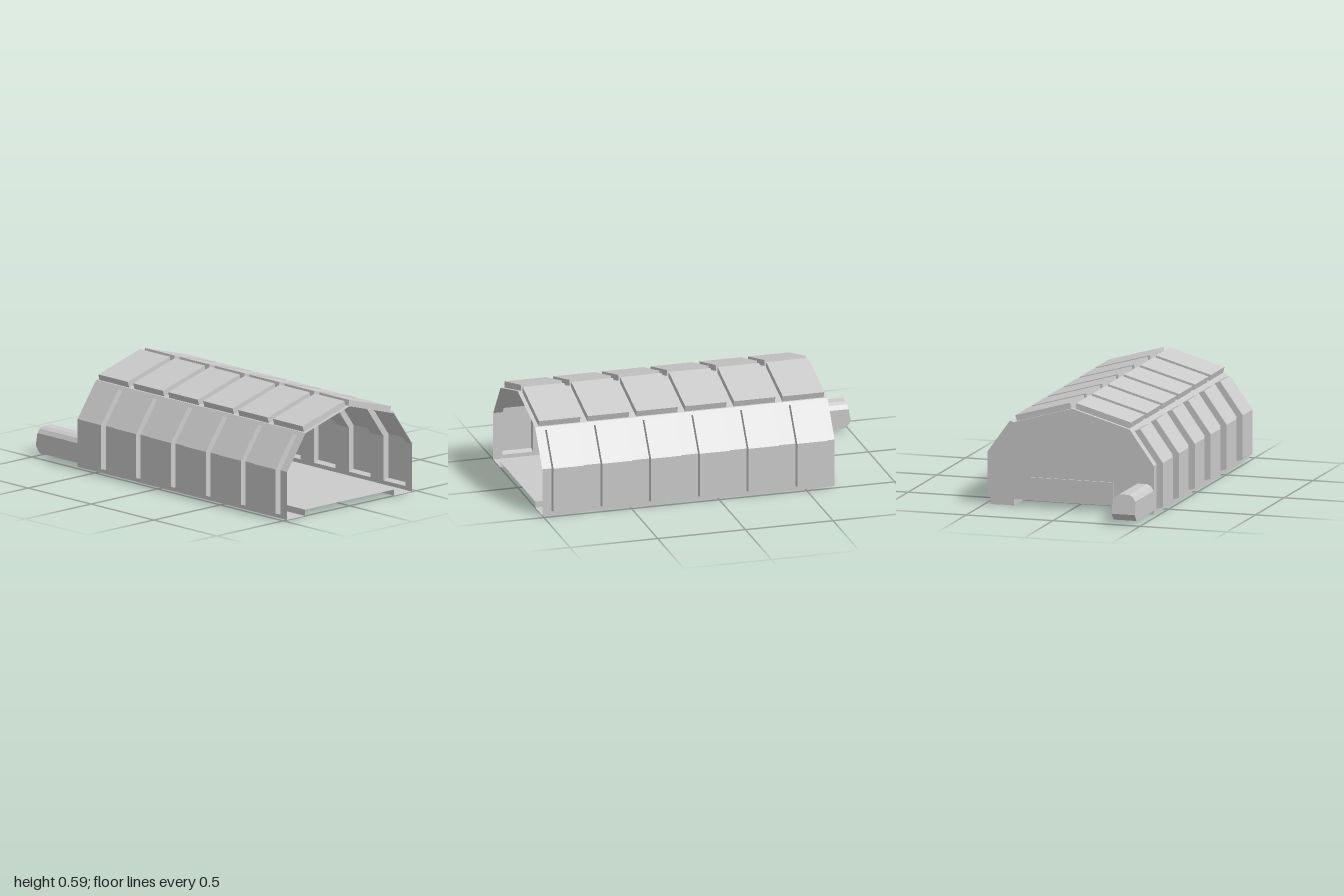
import * as THREE from 'three';

const X0 = -0.667, X1 = 1, PITCH = 0.278, FIRST = -0.53, BAYS = 6;
const mat = new THREE.MeshStandardMaterial({ color: 0xcccccc, flatShading: true, side: THREE.DoubleSide });

// Profiles are lists of [z, y] points
const flip = (pts, s) => pts.map(([z, y]) => [z * s, y]);

function add(parent, geometry, name) {
  const mesh = new THREE.Mesh(geometry, mat);
  mesh.name = name;
  parent.add(mesh);
  return mesh;
}

// Thin sheet running along x; each end is a number or a rule of y
function sheet(pts, a, b) {
  const at = (e, y) => (typeof e === 'function' ? e(y) : e);
  const pos = [], idx = [];
  for (let i = 0; i < pts.length - 1; i++) {
    for (const [z, y] of [pts[i], pts[i + 1]]) pos.push(at(a, y), y, z, at(b, y), y, z);
    const k = i * 4;
    idx.push(k, k + 1, k + 2, k + 1, k + 3, k + 2);
  }
  const g = new THREE.BufferGeometry();
  g.setAttribute('position', new THREE.Float32BufferAttribute(pos, 3));
  g.setIndex(idx);
  g.computeVertexNormals();
  return g;
}

// Flat polygon across the hall, at x or at a rule of y
function plate(pts, x, holes = []) {
  const vec = (list) => list.map(([z, y]) => new THREE.Vector2(z, y));
  const shape = new THREE.Shape(vec(pts));
  holes.forEach((h) => shape.holes.push(new THREE.Path(vec(h))));
  const g = new THREE.ShapeGeometry(shape);
  const p = g.attributes.position;
  for (let i = 0; i < p.count; i++) {
    const z = p.getX(i), y = p.getY(i);
    p.setXYZ(i, typeof x === 'function' ? x(y) : x, y, z);
  }
  g.computeVertexNormals();
  return g;
}

// A row of hollow raised panels with the frame strips between them
function bayRow(parent, base, outer, half, name) {
  let from = X0;
  for (let i = 0; i < BAYS; i++) {
    const c = FIRST + i * PITCH, a = c - half, b = c + half;
    add(parent, sheet(base, from, a), name + 'Frame');
    const skin = [base[0], ...outer, base[base.length - 1]];
    add(parent, sheet(skin, a, b), name + 'Panel');
    const cap = [...skin, ...base.slice(1, -1).reverse()];
    for (const x of [a, b]) add(parent, plate(cap, x), name + 'PanelSide');
    from = b;
  }
  add(parent, sheet(base, from, X1), name + 'Frame');
}

export function createModel() {
  const model = new THREE.Group();
  model.name = 'hall';

  // Side walls and roof slopes, mirrored front to back
  for (const s of [1, -1]) {
    const side = new THREE.Group();
    side.name = s > 0 ? 'frontHalf' : 'backHalf';
    model.add(side);
    const wall = flip([[0.47, 0.022], [0.47, 0.27], [0.343, 0.448]], s);
    const wallOuter = flip([[0.505, 0.032], [0.505, 0.28], [0.375, 0.461]], s);
    bayRow(side, wall, wallOuter, 0.0865, 'wall');
    const roof = flip([[0.324, 0.467], [0.012, 0.557]], s);
    const roofOuter = flip([[0.333, 0.5], [0.018, 0.589]], s);
    bayRow(side, roof, roofOuter, 0.118, 'roof');
    add(side, sheet(flip([[0.47, 0], [0.47, 0.022]], s), X0, X1), 'sill');
    add(side, sheet(flip([[0.343, 0.448], [0.331, 0.465], [0.324, 0.467]], s), X0, X1), 'eave');
    add(side, sheet(flip([[0.012, 0.557], [0, 0.56]], s), X0, X1), 'ridge');
  }

  // Floor with a sunken gutter along each side
  const floor = [[0.47, 0], [0.335, 0], [0.335, 0.035], [-0.335, 0.035], [-0.335, 0], [-0.47, 0]];
  add(model, sheet(floor, X0, X1), 'floor');

  // Closed end wall with the passage doorway
  const arch = [[0.47, 0.022], [0.47, 0.132], [0.455, 0.155], [0.432, 0.167],
    [0.376, 0.167], [0.354, 0.155], [0.338, 0.132], [0.338, 0.022]];
  const door = arch.map(([z, y]) => [0.404 + (z - 0.404) * 0.97, y]);
  const endWall = [...floor, [-0.47, 0.27], [-0.331, 0.465], [0, 0.56], [0.331, 0.465], [0.47, 0.27]];
  add(model, plate(endWall, X0, [door]), 'endWall');

  // Side passage: open below, with a kinked sloping end
  const endX = (y) => (y > 0.06 ? -1 + (y - 0.06) * 0.17 : -1 + (0.06 - y) * 0.8);
  const low = [[0.47, 0.022], [0.47, 0.06], [0.338, 0.06], [0.338, 0.022]];
  const high = [[0.47, 0.06], ...arch.slice(1, -1), [0.338, 0.06]];
  const skin = [arch[0], ...high, arch[arch.length - 1]];
  add(model, sheet(skin, X0, endX), 'passage');
  add(model, plate(low, endX), 'passageEndLower');
  add(model, plate(high, endX), 'passageEndUpper');

  // Landing against the end wall
  const landing = add(model, new THREE.BoxGeometry(0.025, 0.13, 0.476), 'landing');
  landing.position.set(-0.6625, 0.1, 0);

  // Two flights of steps down to the floor, with thin rails
  const STEPS = 11, RUN = 0.022, RISE = 0.0115;
  for (const s of [1, -1]) {
    for (let i = 0; i < STEPS; i++) {
      const h = 0.127 - i * RISE;
      const step = add(model, new THREE.BoxGeometry(RUN, h, 0.168), 'step');
      step.position.set(-0.639 + i * RUN, 0.035 + h / 2, s * 0.154);
    }
    for (const z of [0.08, 0.226]) {
      const shape = new THREE.Shape([[-0.65, 0.035], [-0.4, 0.035], [-0.4, 0.06], [-0.63, 0.19], [-0.65, 0.19]]
        .map(([x, y]) => new THREE.Vector2(x, y)));
      const rail = add(model, new THREE.ExtrudeGeometry(shape, { depth: 0.003, bevelEnabled: false }), 'stairRail');
      rail.position.z = s * z - 0.0015;
    }
  }
  return model;
}
